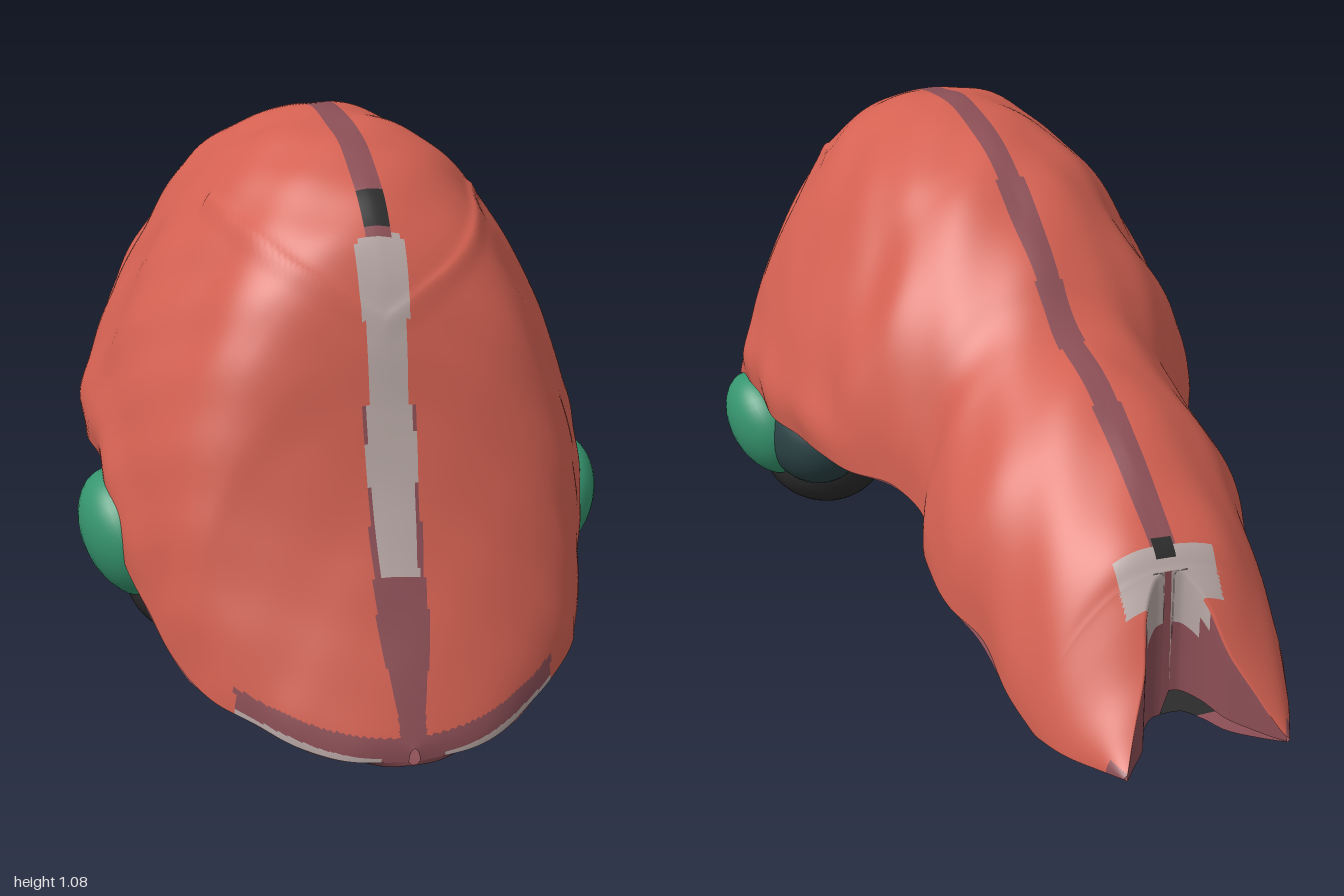
import * as THREE from 'three';

const mat = (name, color) => Object.assign(new THREE.MeshStandardMaterial({ color, side: THREE.DoubleSide }), { name });
const RED = 0, PLUM = 1, PALE = 2, BLACK = 3, NAVY = 4, TEAL = 5;
const WALL = 0.12; // share of the columns that line the tail notch
const smooth = THREE.MathUtils.smoothstep;

// Rows: z, half width, rim height, top height, bottom height, notch half width
const BODY = [
  [1.0, 0.01, 0.015, 0.04, 0.008], [0.985, 0.12, 0.022, 0.08, 0.003], [0.95, 0.2, 0.04, 0.17, 0.005], [0.9, 0.27, 0.07, 0.29, 0.02],
  [0.85, 0.33, 0.095, 0.43, 0.05], [0.81, 0.365, 0.115, 0.6, 0.075], [0.785, 0.38, 0.13, 0.74, 0.09],
  [0.75, 0.4, 0.16, 0.86, 0.11], [0.7, 0.42, 0.2, 0.94, 0.12], [0.6, 0.45, 0.27, 1.015, 0.12],
  [0.5, 0.465, 0.38, 1.055, 0.13], [0.4, 0.47, 0.42, 1.075, 0.17], [0.25, 0.47, 0.42, 1.072, 0.24],
  [0.1, 0.45, 0.42, 1.045, 0.26], [0.0, 0.425, 0.42, 1.0, 0.25], [-0.1, 0.4, 0.42, 0.935, 0.26],
  [-0.2, 0.335, 0.42, 0.865, 0.35], [-0.27, 0.295, 0.38, 0.805, 0.32], [-0.35, 0.32, 0.33, 0.755, 0.23],
  [-0.5, 0.32, 0.3, 0.7, 0.165], [-0.6, 0.295, 0.27, 0.65, 0.155], [-0.7, 0.28, 0.22, 0.58, 0.175],
  [-0.78, 0.265, 0.18, 0.525, 0.17], [-0.81, 0.26, 0.175, 0.485, 0.165], [-0.82, 0.257, 0.175, 0.47, 0.165, 0.03],
  [-0.85, 0.245, 0.175, 0.425, 0.16, 0.06], [-0.9, 0.22, 0.175, 0.343, 0.16, 0.085],
  [-0.95, 0.193, 0.178, 0.28, 0.167, 0.125], [-1.0, 0.169, 0.185, 0.21, 0.18, 0.162],
];

// Gentle uneven surface
const bumps = (x, y, z) => 0.005 * Math.sin(17 * z + 9 * y) * Math.sin(15 * Math.abs(x) + 5 * z)
  + 0.003 * Math.sin(31 * z - 23 * y + 4 * x) * Math.sin(27 * x + 11 * y);

function domePoint(x, w, rim, top, z) {
  const h = Math.sqrt(Math.max(0, 1 - (x / w) ** 2));
  let y = rim + (top - rim) * h;
  const d = bumps(x, y, z) * Math.min(1, w * 4);
  // raised V ridge on the brow
  const v = (y - 0.76 - 0.6 * Math.abs(x)) / 0.02;
  const ridge = z > 0.45 && Math.abs(x) < 0.3 ? 0.012 * Math.exp(-v * v) : 0;
  y += h * (d + ridge);
  // flared rim and flattened shoulders along the middle of the shell
  const mid = smooth(z, -0.2, 0.05) * (1 - smooth(z, 0.5, 0.75));
  const k = 1 + mid * (0.035 * Math.exp(-(((h - 0.1) / 0.1) ** 2)) - 0.08 * Math.exp(-(((h - 0.7) / 0.35) ** 2)));
  return [x * k + d * x / w, y, h];
}

// Skin the cross-sections, either the dome or the belly; paint picks a material for each quad
function loft(rings, cols, under, paint, mats) {
  const curve = at => new THREE.CatmullRomCurve3(BODY.map(r => new THREE.Vector3(r[at], r[at + 1], r[at + 2] || 0)), false, 'catmullrom', 0.5);
  const a = curve(0), b = curve(3);
  const pos = [], info = [], notch = [], buckets = mats.map(() => []);
  for (let i = 0; i <= rings; i++) {
    const p = a.getPoint(i / rings), q = b.getPoint(i / rings);
    const z = p.x, w = Math.max(p.y, 0.003), c = q.z > 0.006 ? q.z : 0;
    notch.push(c);
    for (let j = 0; j <= cols; j++) {
      const s = Math.cos(Math.PI * j / cols), as = Math.abs(s), sg = Math.sign(s);
      let x, y, h = 0;
      if (under) {
        x = sg * (c + (w - c) * as);
        y = p.z + (q.y - p.z) * (1 - smooth(as, 0.35, 0.93));
        y -= 0.05 * Math.exp(-(((Math.abs(x) - 0.27) / 0.12) ** 2) - ((z - 0.47) / 0.16) ** 2);
      } else {
        const u = c ? Math.max(0, (as - WALL) / (1 - WALL)) : as;
        [x, y, h] = domePoint(sg * (c + (w - c) * u), w, p.z, q.x, z);
        if (c && as < WALL) y = THREE.MathUtils.lerp(q.y, y, as / WALL);
      }
      pos.push(x, y, z);
      info.push([x, y, z, s, h]);
    }
  }
  for (let i = 0; i < rings; i++) for (let j = 0; j < cols; j++) {
    const k = i * (cols + 1) + j, n = k + cols + 1;
    // leave the notch between the prongs open
    if (notch[i] && notch[i + 1] && info[k][3] > 0 && info[k + 1][3] < 0) continue;
    const m = info[k].map((v, e) => (v + info[n + 1][e]) / 2);
    buckets[paint(...m)].push(...(under ? [k, k + 1, n, k + 1, n + 1, n] : [k, n, k + 1, k + 1, n, n + 1]));
  }
  const g = new THREE.BufferGeometry();
  g.setAttribute('position', new THREE.Float32BufferAttribute(pos, 3));
  g.setIndex(buckets.flat());
  let start = 0;
  buckets.forEach((f, m) => { if (f.length) g.addGroup(start, f.length, m); start += f.length; });
  g.computeVertexNormals();
  return new THREE.Mesh(g, mats);
}

// Midline stripe, pale inlays, front lip and tail notch
function paintTop(x, y, z, s, h) {
  const ax = Math.abs(x), lip = y - 0.8 * x * x;
  if (z < -0.813 && Math.abs(s) < WALL) return y > 0.36 && z > -0.86 ? PALE : PLUM;
  if (z < -0.8 && z > -0.845 && ax < 0.1) return PALE;
  if (z < -0.77 && z > -0.8 && ax < 0.02) return BLACK;
  if (z < -0.785 && z > -0.845 && ax < 0.1) return PALE;
  if (z < -0.96) return h < 0.3 ? PLUM : RED;
  if (z > 0.55 && y > 0.32 && y < 0.91 && ax < 0.041 + 0.006 * Math.sin(20 * y - 9)) return PALE;
  if (z > 0.5 && y > 0.925 && y < 0.98 && ax < 0.022) return BLACK;
  if (z > 0.8 && ax < 0.3) {
    if (lip < 0.022 && ax > 0.06) return PALE;
    if (lip < 0.06) return PLUM;
  }
  if (z < 0.6 || y > 0.9) return ax < 0.028 ? PLUM : RED;
  if (y > 0.62) return RED;
  return ax < 0.025 + 0.023 * smooth(y, 0.08, 0.25) ? PLUM : RED;
}
function paintUnder(x, y, z, s) {
  const as = Math.abs(s);
  if (z > 0.87 || z < -0.84) return PLUM;
  if (as > (z > 0.58 ? 0.7 : z > -0.25 ? 0.78 : 0.88)) return PLUM;
  if (z > -0.27 && z < 0.24) return NAVY;
  if (z > 0.18 && z < 0.45 && as > 0.5) return TEAL;
  return BLACK;
}

export function createModel() {
  const root = new THREE.Group();
  const mats = [mat('coralRed', 0xd46152), mat('plumBrown', 0x8c4f56), mat('paleGrey', 0xb9a9a6),
    mat('charcoal', 0x2b2b2b), mat('navy', 0x2a2950), mat('darkTeal', 0x2a4144)];
  const green = mat('green', 0x36956f), blue = mat('blue', 0x37378c);
  const add = (name, mesh) => { mesh.name = name; root.add(mesh); return mesh; };
  const blob = (name, material, p, r, tilt = 0) => {
    const m = add(name, new THREE.Mesh(new THREE.SphereGeometry(1, 32, 20), material));
    m.position.set(...p);
    m.scale.set(...r);
    m.rotation.z = tilt;
  };

  // Domed shell with forked tail, and its belly
  add('shell', loft(260, 160, false, paintTop, mats));
  add('belly', loft(160, 100, true, paintUnder, mats));

  // Lobes below the shell
  for (const side of [1, -1]) {
    const label = side > 0 ? 'left' : 'right';
    blob(label + 'Knob', green, [side * 0.427, 0.285, 0.475], [0.09, 0.134, 0.132], -side * 0.4);
    blob(label + 'Lobe', mats[BLACK], [side * 0.29, 0.2, 0.48], [0.15, 0.132, 0.17]);
    blob(label + 'LobeBridge', mats[TEAL], [side * 0.335, 0.29, 0.4], [0.12, 0.13, 0.16]);
  }

  // Central spike
  const profile = [[0.001, 0.08], [0.014, 0.09], [0.033, 0.14], [0.055, 0.2], [0.085, 0.27], [0.13, 0.32], [0.17, 0.4]];
  const curve = new THREE.SplineCurve(profile.map(p => new THREE.Vector2(...p)));
  const spike = add('spike', new THREE.Mesh(new THREE.LatheGeometry(curve.getPoints(24), 32), blue));
  spike.position.z = -0.11;
  spike.scale.z = 0.8;
  return root;
}
